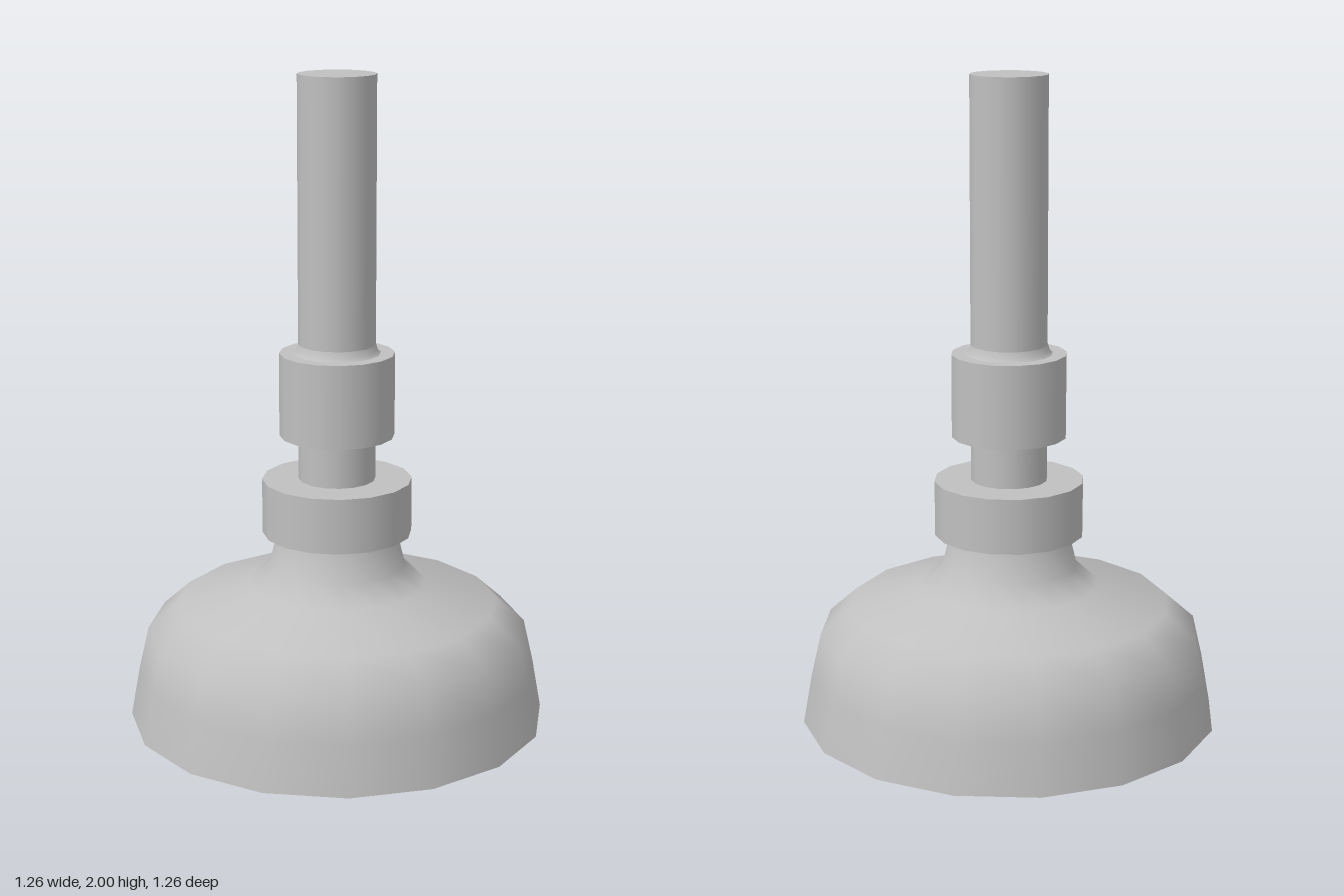
import * as THREE from 'three';

const SIDES = 16;

export function createModel() {
  const group = new THREE.Group();
  const metal = new THREE.MeshStandardMaterial({ color: 0xc0c0c0 });
  metal.name = 'greyMetal';

  const add = (name, geometry, y = 0) => {
    const mesh = new THREE.Mesh(geometry, metal);
    mesh.name = name;
    mesh.position.y = y;
    group.add(mesh);
  };
  // Revolves [radius, height] pairs, listed from bottom to top, with smooth normals
  const lathe = (name, profile) =>
    add(name, new THREE.LatheGeometry(profile.map(([r, y]) => new THREE.Vector2(r, y)), SIDES));
  // Capped cylinder between two heights
  const cylinder = (name, radius, bottom, top) =>
    add(name, new THREE.CylinderGeometry(radius, radius, top - bottom, SIDES), (bottom + top) / 2);

  // Bell-shaped foot and its shallow conical underside
  lathe('footBell', [
    [0.632, 0.05], [0.605, 0.2], [0.575, 0.33], [0.485, 0.41],
    [0.27, 0.47], [0.205, 0.53], [0.18, 0.635],
  ]);
  lathe('footUnderside', [[0, 0], [0.632, 0.05]]);

  // Wide lower collar and narrower upper collar
  cylinder('lowerCollar', 0.225, 0.63, 0.797);
  cylinder('upperCollar', 0.172, 0.932, 1.183);

  // Rod running through both collars, with a small fillet above the upper one
  cylinder('rod', 0.115, 0.7, 2);
  lathe('rodFillet', [[0.13, 1.183], [0.121, 1.192], [0.115, 1.21]]);

  return group;
}
